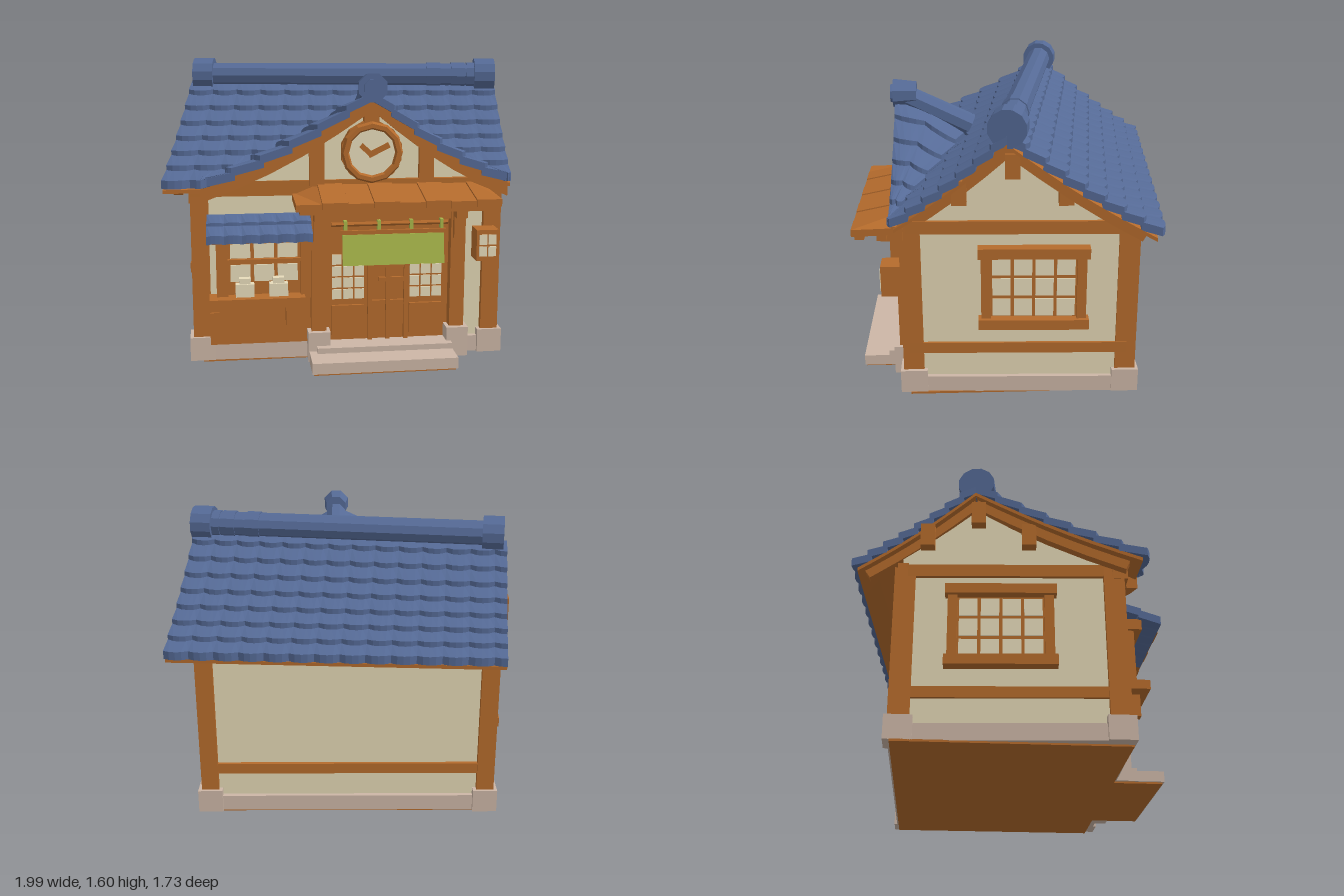
import * as THREE from 'three';

const mat = (name, color, extra = {}) => Object.assign(new THREE.MeshStandardMaterial({ color, ...extra }), { name });
const V = (x, y, z) => new THREE.Vector3(x, y, z);
const mix = THREE.MathUtils.lerp;

export function createModel() {
  const root = new THREE.Group();
  root.name = 'cottage';
  const tile = mat('roofBlue', 0x556a96, { flatShading: true });
  const wood = mat('wood', 0xb56b2c, { flatShading: true });
  const plaster = mat('plaster', 0xe3d7b4);
  const stone = mat('stone', 0xccb6a6);
  const green = mat('clothGreen', 0xa8b64a);
  const pane = mat('pane', 0xeadebd);

  const add = (parent, name, geo, m, x = 0, y = 0, z = 0) => {
    const mesh = new THREE.Mesh(geo, m);
    mesh.name = name;
    mesh.position.set(x, y, z);
    parent.add(mesh);
    return mesh;
  };
  // box given by its ranges on each axis
  const box = (p, name, m, x0, x1, y0, y1, z0, z1) =>
    add(p, name, new THREE.BoxGeometry(x1 - x0, y1 - y0, z1 - z0), m, (x0 + x1) / 2, (y0 + y1) / 2, (z0 + z1) / 2);
  // bar between two points
  const bar = (p, name, m, a, b, w, h) => {
    const mesh = add(p, name, new THREE.BoxGeometry(w, h, a.distanceTo(b)), m);
    mesh.position.copy(a).lerp(b, 0.5);
    mesh.lookAt(b);
    return mesh;
  };
  const rod = (p, name, m, a, b, r0, r1, n = 10) => {
    const g = new THREE.CylinderGeometry(r1, r0, a.distanceTo(b), n).rotateX(Math.PI / 2).rotateZ(Math.PI / n);
    const mesh = add(p, name, g, m);
    mesh.position.copy(a).lerp(b, 0.5);
    mesh.lookAt(b);
    return mesh;
  };
  const extrude = (pts, depth) =>
    new THREE.ExtrudeGeometry(new THREE.Shape(pts.map(p => new THREE.Vector2(...p))), { depth, bevelEnabled: false });

  // one overlapping row of tiles on a surface S(u, v), v running downhill
  const course = (p, name, m, S, v0, v1, lift0, lift1, thick, n, wave) => {
    const pos = [], rings = [];
    for (let i = 0; i <= n; i++) {
      const u = i / n, k = wave * (i % 4 === 0 ? -1 : i % 4 === 2 ? 1 : 0.6);
      const a = S(u, v0), b = S(u, v1 + k);
      a.y += lift0;
      b.y += lift1 + k * 0.4;
      rings.push([a, b, b.clone().setY(b.y - thick), a.clone().setY(a.y - thick)]);
    }
    const quad = (a, b, c, d) => [a, b, c, a, c, d].forEach(q => pos.push(q.x, q.y, q.z));
    for (let i = 0; i < n; i++)
      for (let k = 0; k < 4; k++) {
        const l = (k + 1) % 4;
        quad(rings[i][k], rings[i][l], rings[i + 1][l], rings[i + 1][k]);
      }
    quad(...rings[0].slice().reverse());
    quad(...rings[n]);
    const g = new THREE.BufferGeometry();
    g.setAttribute('position', new THREE.Float32BufferAttribute(pos, 3));
    g.computeVertexNormals();
    return add(p, name, g, m);
  };
  const courses = (p, name, S, rows, n, step) => {
    for (let r = 0; r < rows; r++)
      course(p, name, tile, S, Math.max(0, (r - 0.2) / rows), (r + 1) / rows, -0.005, step, 0.045, n, 0.012);
  };

  // main roof: skewed ridge and two slopes
  const roof = new THREE.Group();
  roof.name = 'roof';
  root.add(roof);
  const RL = V(-0.855, 1.475, -0.22), RR = V(0.91, 1.475, 0.06);
  const slope = (l, r) => (u, v) => {
    const q = RL.clone().lerp(RR, u).lerp(l.clone().lerp(r, u), v);
    q.y -= 0.025 * Math.sin(Math.PI * v);
    return q;
  };
  const front = slope(V(-1.0, 1.0, 0.68), V(0.855, 1.0, 0.66));
  const back = slope(V(-0.785, 1.0, -0.86), V(0.99, 0.985, -0.72));
  const backFlip = (u, v) => back(1 - u, v);
  // the front slope is cut along the two valleys of the hood
  const split = 3 / 7, mid = 0.55;
  const gap = v => Math.min(1, Math.max(0, (v - split) / (1 - split))) ** 0.85;
  const uL = v => mix(mid, 0.11, gap(v)), uR = v => mix(mid, 0.99, gap(v));
  const frontL = (u, v) => front(Math.min(u * mid, uL(v)), v);
  const frontR = (u, v) => front(Math.max(mix(mid, 1, u), uR(v)), v);
  courses(roof, 'backTiles', backFlip, 8, 54, 0.028);
  courses(roof, 'frontTilesLeft', frontL, 7, 28, 0.028);
  courses(roof, 'frontTilesRight', frontR, 7, 24, 0.028);
  [backFlip, frontL, frontR].forEach(S => {
    for (let i = 0; i < 7; i++) course(roof, 'roofBoards', wood, S, i * 0.137, i * 0.137 + 0.137, -0.045, -0.045, 0.02, 20, 0);
  });
  const along = t => RL.clone().lerp(RR, t).setY(1.505);
  rod(roof, 'ridge', tile, along(0.04), along(0.98), 0.072, 0.072);
  [0.78, 0.86, 0.91].forEach(t => rod(roof, 'ridgeBand', tile, along(t), along(t + 0.045), 0.078, 0.078));
  rod(roof, 'ridgeCap', tile, along(0.01), along(0.075), 0.1, 0.1, 12);
  rod(roof, 'ridgeCap', tile, along(0.935), along(1.0), 0.1, 0.1, 12);
  // verge boards under both roof ends
  [0.035, 0.96].forEach(u => [front, back].forEach(S => {
    for (let i = 0; i < 4; i++) {
      const a = S(u, i * 0.22), b = S(u, i * 0.22 + 0.23);
      a.y -= 0.085;
      b.y -= 0.085;
      bar(roof, 'vergeBoard', wood, a, b, 0.05, 0.065);
    }
  }));

  // curved hood over the front gable
  const hood = new THREE.Group();
  hood.name = 'frontHood';
  root.add(hood);
  const H = v => 1.0 + 0.47 * (1 - v) - 0.045 * Math.sin(Math.PI * v);
  const edge = (s, v) => V(0.1 + v * (s < 0 ? -0.9 : 0.74), H(v), 0.66);
  [-1, 1].forEach(s => {
    const S = (u, v) => {
      const w = mix(split, 1, v), q = front(s < 0 ? uL(w) : uR(w), w);
      const t = s < 0 ? u : 1 - u;
      q.y += 0.03 * (1 - v);
      q.lerp(edge(s, v), t);
      q.y += 0.04 * Math.sin(Math.PI * t) * (1 - v);
      return q;
    };
    courses(hood, 'hoodTiles', S, 6, 8, 0.028);
  });
  rod(hood, 'hoodRidge', tile, V(0.1, 1.3, 0.24), V(0.1, 1.475, 0.6), 0.065, 0.06, 8);
  rod(hood, 'hoodCap', tile, V(0.1, 1.49, 0.54), V(0.1, 1.49, 0.67), 0.065, 0.08, 8);
  rod(hood, 'hoodCapDisc', tile, V(0.1, 1.49, 0.66), V(0.1, 1.49, 0.685), 0.05, 0.05, 8);
  const arch = off => [-1, -0.8, -0.6, -0.4, -0.2, 0, 0.2, 0.4, 0.6, 0.8, 1]
    .map(t => { const e = edge(t, Math.abs(t)); return [e.x, e.y + off]; });
  add(hood, 'gableBoard', extrude([...arch(-0.02), ...arch(-0.1).reverse()], 0.06), wood, 0, 0, 0.59);
  add(hood, 'gableWall', extrude([...arch(-0.05).slice(1, -1), [0.7, 0.96], [-0.63, 0.96]], 0.03), plaster, 0, 0, 0.56);
  [-0.19, 0.4].forEach(x => box(hood, 'gablePost', wood, x - 0.04, x + 0.04, 0.97, 1.2, 0.58, 0.62));
  box(hood, 'gableBracket', wood, 0.06, 0.14, 1.3, 1.4, 0.59, 0.64);

  // clock
  rod(hood, 'clockRim', wood, V(0.1, 1.15, 0.58), V(0.1, 1.15, 0.64), 0.165, 0.165, 12);
  add(hood, 'clockRing', new THREE.TorusGeometry(0.143, 0.022, 6, 12), wood, 0.1, 1.15, 0.645);
  rod(hood, 'clockFace', pane, V(0.1, 1.15, 0.64), V(0.1, 1.15, 0.648), 0.128, 0.128, 12);
  bar(hood, 'clockHand', wood, V(0.08, 1.135, 0.652), V(0.19, 1.19, 0.652), 0.008, 0.03);
  bar(hood, 'clockHand', wood, V(0.1, 1.135, 0.652), V(0.04, 1.19, 0.652), 0.008, 0.028);

  // floor, foundation and posts
  const walls = new THREE.Group();
  walls.name = 'walls';
  root.add(walls);
  box(walls, 'floor', wood, -0.81, 0.84, 0, 0.012, -0.62, 0.58);
  box(walls, 'stepFloor', wood, -0.23, 0.53, 0, 0.012, 0.58, 0.85);
  box(walls, 'backPlinth', stone, -0.78, 0.84, 0.01, 0.1, -0.63, -0.56);
  box(walls, 'backWall', plaster, -0.75, 0.82, 0.1, 1.0, -0.605, -0.56);
  box(walls, 'backLowBeam', wood, -0.75, 0.82, 0.24, 0.3, -0.625, -0.58);
  box(walls, 'backTopBeam', wood, -0.77, 0.84, 0.93, 1.02, -0.625, -0.56);
  [[0.785, 0.56, -0.03], [0.8, -0.575, 0], [-0.812, 0.515, 0], [-0.742, -0.582, 0]].forEach(([px, z, dx]) => {
    const x = px + dx * 0.5;
    box(walls, 'cornerPost', wood, x - 0.048, x + 0.048, 0.1, 0.98, z - 0.055, z + 0.055);
    box(walls, 'cornerBase', stone, x - 0.068, x + 0.068, 0.01, 0.14, z - 0.072, z + 0.072);
  });
  // front wall, slightly turned
  const frontWall = new THREE.Group();
  frontWall.name = 'frontWall';
  frontWall.rotation.y = -0.022;
  frontWall.position.z = -0.012;
  walls.add(frontWall);
  box(frontWall, 'frontPlinth', stone, -0.82, 0.8, 0.01, 0.1, 0.55, 0.61);
  box(frontWall, 'frontPlaster', plaster, -0.81, 0.79, 0.1, 0.97, 0.54, 0.58);
  box(frontWall, 'frontTopBeam', wood, -0.85, 0.82, 0.92, 1.0, 0.54, 0.62);

  // window panes: a grid of thin plates facing +z
  const panes = (p, cx, cy, z, w, h, cols, rows) => {
    for (let i = 0; i < cols; i++)
      for (let j = 0; j < rows; j++) {
        const pw = w / cols, ph = h / rows;
        add(p, 'pane', new THREE.BoxGeometry(pw * 0.85, ph * 0.84, 0.008), pane,
          cx + (i + 0.5) * pw - w / 2, cy + (j + 0.5) * ph - h / 2, z);
      }
  };

  // side walls, outward along local +x
  const side = (s, x, turn, apex, frontZ, backY) => {
    const g = new THREE.Group();
    g.name = s > 0 ? 'leftSide' : 'rightSide';
    g.position.x = x;
    g.rotation.y = (s > 0 ? 0 : Math.PI) - turn;
    root.add(g);
    const outline = [[frontZ, 0.1], [-0.6, 0.1], [-0.6, backY], [apex, 1.39], [frontZ, 1.0]].map(([z, y]) => [-z * s, y]);
    add(g, 'gableEndWall', extrude(outline, 0.04).rotateY(Math.PI / 2), plaster, -0.06);
    const sideBeam = (name, m, y0, y1, out) => {
      const [a, b] = [-0.58 * s, (frontZ - 0.02) * s].sort((p, q) => p - q);
      box(g, name, m, -0.06, out, y0, y1, a, b);
    };
    sideBeam('sidePlinth', stone, 0.01, 0.1, 0.005);
    sideBeam('sideLowBeam', wood, 0.24, 0.3, -0.005);
    sideBeam('sideTopBeam', wood, 0.93, 1.0, 0);
    [[0, 1.24], [0.27, 1.1], [-0.27, 1.1]].forEach(([d, y]) => {
      const z = s * (apex + d);
      box(g, 'gableBracket', wood, -0.03, 0.04, y, y + 0.13, z - 0.038, z + 0.038);
    });
    const win = new THREE.Group();
    win.name = 'sideWindow';
    win.position.set(-0.02, 0, -0.08 * s);
    win.rotation.y = Math.PI / 2;
    g.add(win);
    box(win, 'windowBack', wood, -0.25, 0.25, 0.44, 0.83, 0, 0.012);
    [-1, 1].forEach(e => box(win, 'windowJamb', wood, e * 0.25 - 0.025, e * 0.25 + 0.025, 0.44, 0.83, 0, 0.04));
    [0.43, 0.835].forEach(y => box(win, 'windowRail', wood, -0.29, 0.29, y - 0.028, y + 0.028, 0, 0.062));
    panes(win, 0, 0.63, 0.014, 0.45, 0.35, 4, 3);
  };
  side(1, 0.842, 0.03, 0.03, 0.6, 1.0);
  side(-1, -0.827, 0.065, -0.2, 0.55, 1.1);

  // shop window with awning
  const shop = new THREE.Group();
  shop.name = 'shopWindow';
  root.add(shop);
  box(shop, 'lowerPanel', wood, -0.77, -0.2, 0.1, 0.35, 0.55, 0.585);
  box(shop, 'lowerBoard', wood, -0.77, -0.2, 0.1, 0.28, 0.55, 0.595);
  box(shop, 'windowBack', wood, -0.72, -0.2, 0.28, 0.74, 0.56, 0.595);
  [-0.7, -0.25].forEach(x => box(shop, 'windowJamb', wood, x - 0.03, x + 0.03, 0.36, 0.7, 0.58, 0.63));
  box(shop, 'windowHead', wood, -0.75, -0.22, 0.68, 0.74, 0.56, 0.67);
  box(shop, 'sill', wood, -0.77, -0.26, 0.33, 0.38, 0.57, 0.69);
  box(shop, 'middleRail', wood, -0.68, -0.27, 0.56, 0.58, 0.59, 0.62);
  panes(shop, -0.475, 0.625, 0.598, 0.38, 0.1, 3, 1);
  panes(shop, -0.475, 0.5, 0.598, 0.38, 0.11, 3, 1);
  [-0.67, -0.34].forEach(x => box(shop, 'sillBracket', wood, x - 0.022, x + 0.022, 0.21, 0.33, 0.58, 0.65));
  [-0.58, -0.4].forEach(x => {
    box(shop, 'sillBox', pane, x - 0.05, x + 0.05, 0.38, 0.45, 0.6, 0.65);
    box(shop, 'sillBoxLid', pane, x - 0.03, x + 0.03, 0.45, 0.48, 0.6, 0.64);
  });
  const awning = (u, v) => V(mix(-0.775, -0.225, u), mix(0.825, 0.735, v), mix(0.57, 0.77, v));
  courses(shop, 'awningTiles', awning, 2, 24, 0.015);

  // doorway
  const door = new THREE.Group();
  door.name = 'doorway';
  root.add(door);
  box(door, 'lowerStep', stone, -0.24, 0.54, 0.01, 0.07, 0.55, 0.86);
  box(door, 'upperStep', stone, -0.2, 0.54, 0.07, 0.1, 0.55, 0.72);
  [-0.185, 0.575].forEach(x => {
    box(door, 'doorPost', wood, x - 0.04, x + 0.04, 0.15, 0.93, 0.56, 0.65);
    box(door, 'doorPostBase', stone, x - 0.06, x + 0.06, 0.01, 0.175, 0.54, 0.68);
    box(door, 'porchBracket', wood, x - 0.03, x + 0.03, 0.68, 0.86, 0.62, 0.68);
    box(door, 'porchArm', wood, x - 0.03, x + 0.03, 0.8, 0.87, 0.62, 0.73);
  });
  box(door, 'doorBack', wood, -0.15, 0.54, 0.1, 0.84, 0.57, 0.59);
  box(door, 'doorHeader', wood, -0.15, 0.54, 0.78, 0.86, 0.58, 0.64);
  [-0.02, 0.41].forEach(x => {
    box(door, 'doorLeafPanel', wood, x - 0.09, x + 0.09, 0.13, 0.3, 0.585, 0.605);
    panes(door, x, 0.46, 0.595, 0.185, 0.26, 3, 4);
  });
  [0.1, 0.2, 0.3].forEach(x => box(door, 'doorStile', wood, x - 0.012, x + 0.012, 0.1, 0.6, 0.585, 0.61));
  [0.31, 0.44, 0.52].forEach((y, i) => box(door, 'doorRail', wood, 0.11 + 0.04 * (i % 2), 0.3, y - 0.012, y + 0.012, 0.585, 0.605));
  rod(door, 'curtainRod', wood, V(-0.12, 0.77, 0.67), V(0.51, 0.77, 0.67), 0.012, 0.012, 6);
  box(door, 'curtainRail', wood, -0.07, 0.5, 0.71, 0.735, 0.66, 0.675);
  const cloth = add(door, 'curtain', new THREE.BoxGeometry(0.55, 0.165, 0.008), green, 0.213, 0.632, 0.69);
  cloth.rotation.x = -0.14;
  [-0.045, 0.135, 0.31, 0.475].forEach(x => box(door, 'curtainLoop', green, x - 0.009, x + 0.009, 0.74, 0.79, 0.655, 0.686));

  // porch canopy boards, dropping at both ends
  box(door, 'canopyBeam', wood, -0.27, 0.69, 0.84, 0.88, 0.69, 0.74);
  box(door, 'canopyFascia', wood, -0.3, 0.73, 0.865, 0.9, 0.8, 0.85);
  for (let i = 0; i < 8; i++) {
    const S = (u, v) => {
      const t = (i + u * 0.985) / 8, end = Math.max(0, (Math.abs(2 * t - 1) - 0.75) / 0.25);
      return V(mix(-0.32, 0.75, t), mix(0.985 - 0.055 * end, 0.922, v), mix(0.56, 0.865, v));
    };
    course(door, 'canopyBoard', wood, S, 0, 1, (i % 2) * 0.006, (i % 2) * 0.006, 0.038, 1, 0);
  }

  // hanging lantern
  box(door, 'lantern', wood, 0.66, 0.78, 0.56, 0.73, 0.61, 0.72);
  panes(door, 0.72, 0.645, 0.722, 0.1, 0.13, 2, 2);
  return root;
}
